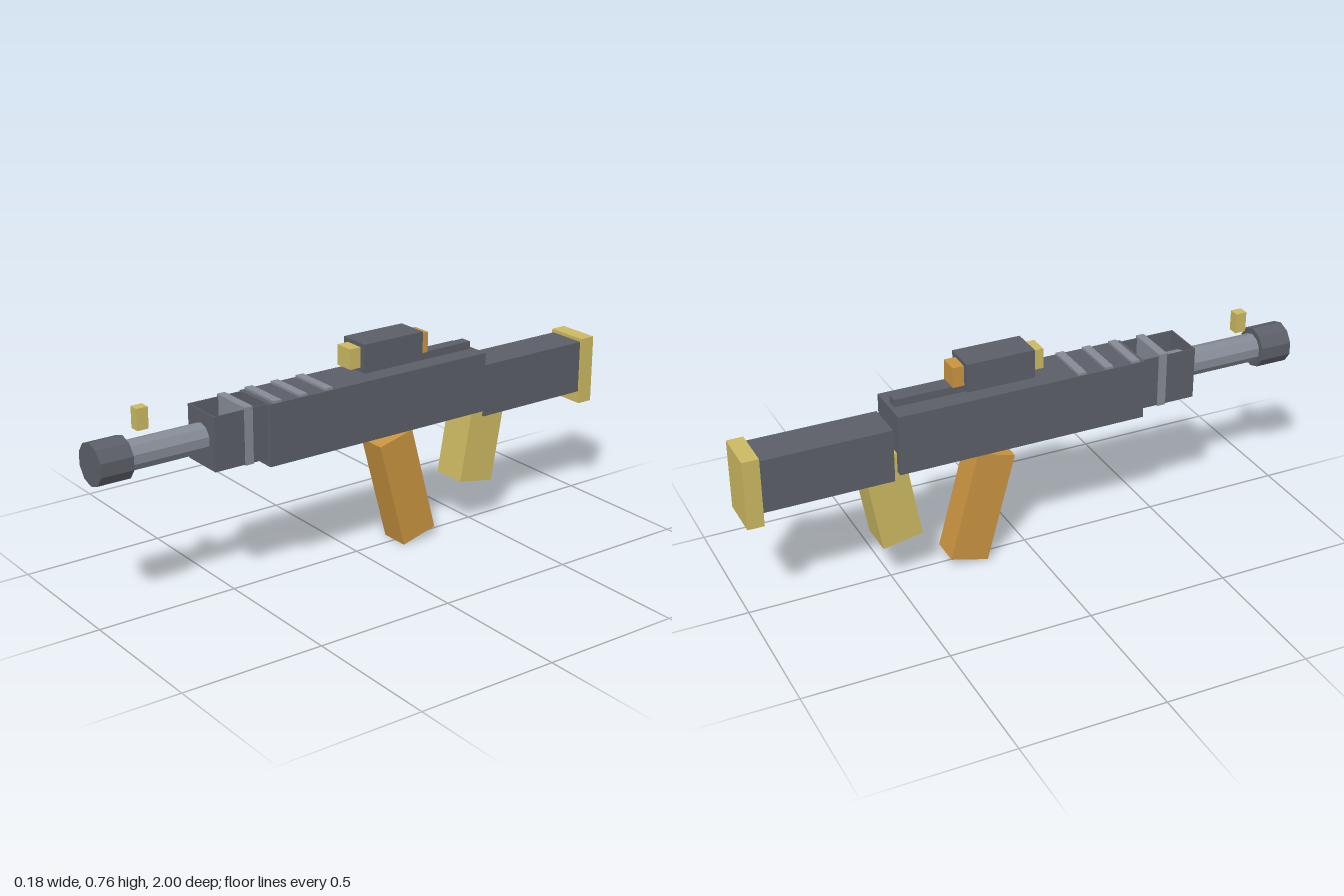
import * as THREE from 'three';

const mat = (name, color, extra = {}) => {
  const m = new THREE.MeshStandardMaterial({ color, flatShading: true, ...extra });
  m.name = name;
  return m;
};

export function createModel() {
  const dark = mat('darkMetal', 0x5b5e67);
  const light = mat('lightMetal', 0x848a94);
  const sand = mat('sand', 0xcab860);
  const orange = mat('orange', 0xc8933f);
  const group = new THREE.Group();

  const add = (name, geo, material) => {
    const m = new THREE.Mesh(geo, material);
    m.name = name;
    group.add(m);
    return m;
  };
  // Box from half width, y range and z range
  const box = (name, material, hx, y0, y1, z0, z1, x = 0) => {
    const m = add(name, new THREE.BoxGeometry(hx * 2, y1 - y0, z1 - z0), material);
    m.position.set(x, (y0 + y1) / 2, (z0 + z1) / 2);
    return m;
  };
  // Ten-sided tube lying along z
  const rod = (name, material, r, z0, z1) => {
    const geo = new THREE.CylinderGeometry(r, r, z1 - z0, 10).rotateX(Math.PI / 2);
    add(name, geo, material).position.set(0, 0.559, (z0 + z1) / 2);
  };

  // Main body and stock
  box('receiver', dark, 0.088, 0.438, 0.65, -0.485, 0.405);
  box('stock', dark, 0.071, 0.41, 0.598, -0.945, -0.497);
  box('buttPlate', sand, 0.078, 0.366, 0.61, -1, -0.943);

  // Front housing, open at the top
  const t = 0.004;
  box('housingFloor', dark, 0.078, 0.465, 0.465 + t, 0.405, 0.605);
  box('housingFront', dark, 0.078, 0.465, 0.65, 0.605 - t, 0.605);
  for (const s of [-1, 1])
    box('housingWall', dark, t / 2, 0.465, 0.65, 0.405, 0.605, s * (0.078 - t / 2));
  box('housingBand', light, 0.082, 0.463, 0.658, 0.464, 0.494);

  // Barrel and muzzle
  rod('barrel', light, 0.05, 0.545, 0.9);
  rod('muzzle', dark, 0.0715, 0.885, 1);
  box('frontSight', sand, 0.018, 0.638, 0.71, 0.802, 0.842);

  // Ribs across the top
  for (const z of [0.172, 0.272, 0.372])
    box('topRib', light, 0.085, 0.64, 0.658, z - 0.015, z + 0.015);

  // Rail and sight housing
  box('rail', dark, 0.02, 0.645, 0.677, -0.47, -0.11);
  box('scopeBody', dark, 0.058, 0.666, 0.766, -0.232, 0.01);
  box('scopeFront', sand, 0.035, 0.681, 0.752, 0.01, 0.052);
  box('scopeRear', orange, 0.035, 0.681, 0.752, -0.272, -0.232);

  // Slanted grip and magazine
  const grip = add('grip', new THREE.BoxGeometry(0.128, 0.335, 0.143), sand);
  grip.position.set(0, 0.335, -0.504);
  grip.rotation.x = -0.175;
  const magazine = add('magazine', new THREE.BoxGeometry(0.107, 0.4, 0.139), orange);
  magazine.position.set(0, 0.2125, -0.18);
  magazine.rotation.x = 0.262;

  return group;
}
